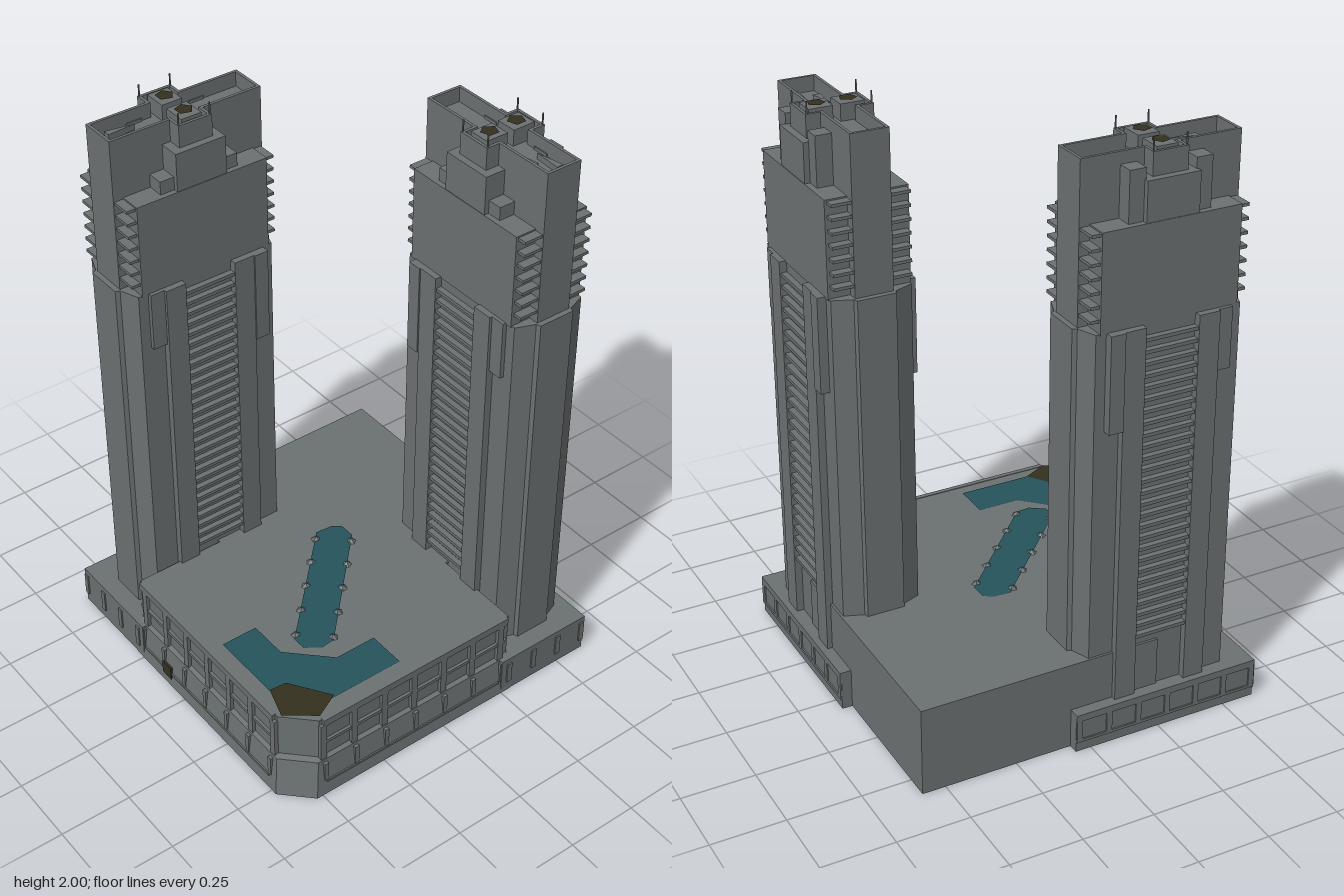
import * as THREE from 'three';
import { mergeGeometries } from 'three/addons/utils/BufferGeometryUtils.js';

export function createModel() {
  const model = new THREE.Group();
  const paint = (name, color) => {
    const m = new THREE.MeshStandardMaterial({ color, side: THREE.DoubleSide, flatShading: true });
    m.name = name;
    return m;
  };
  const concrete = paint('concrete grey', 0x6b7070);
  const water = paint('pool teal', 0x25535b);
  const dark = paint('dark olive', 0x33301f);

  const add = (parent, name, geos, mat = concrete) => {
    const list = [geos].flat().map(g => (g.index ? g.toNonIndexed() : g));
    const mesh = new THREE.Mesh(list.length > 1 ? mergeGeometries(list) : list[0], mat);
    mesh.name = name;
    parent.add(mesh);
  };

  // The complex mirrors across the plan diagonal: (x, z) -> (-z, -x)
  const flip = (p, m) => (m ? [-p[1], -p[0]] : p);
  const box = (m, x0, x1, y0, y1, z0, z1) => {
    const [cx, cz] = flip([(x0 + x1) / 2, (z0 + z1) / 2], m);
    const w = x1 - x0, d = z1 - z0;
    return new THREE.BoxGeometry(m ? d : w, y1 - y0, m ? w : d).translate(cx, (y0 + y1) / 2, cz);
  };
  const outline = (pts, m) => new THREE.Shape(pts.map(p => {
    const [x, z] = flip(p, m);
    return new THREE.Vector2(x, -z);
  }));
  const plate = (pts, y, m = false) =>
    new THREE.ShapeGeometry(outline(pts, m)).rotateX(-Math.PI / 2).translate(0, y, 0);
  const prism = (pts, y0, y1, m, hole) => {
    const s = outline(pts, m);
    if (hole) s.holes.push(outline(hole, m));
    return new THREE.ExtrudeGeometry(s, { depth: y1 - y0, bevelEnabled: false })
      .rotateX(-Math.PI / 2).translate(0, y0, 0);
  };
  // Open wall lofted through rings of plan points, each ring at its own height
  const walls = (rings) => {
    const pos = [];
    for (let r = 0; r + 1 < rings.length; r++) {
      const [a, b] = [rings[r], rings[r + 1]];
      const n = a.pts.length;
      for (let i = 0; i < n; i++) {
        const j = (i + 1) % n;
        const v = (q, k) => [q.pts[k][0], q.y, q.pts[k][1]];
        pos.push(...v(a, i), ...v(a, j), ...v(b, j), ...v(a, i), ...v(b, j), ...v(b, i));
      }
    }
    const g = new THREE.BufferGeometry();
    g.setAttribute('position', new THREE.Float32BufferAttribute(pos, 3));
    g.setAttribute('uv', new THREE.Float32BufferAttribute(new Array(pos.length / 3 * 2).fill(0), 2));
    g.computeVertexNormals();
    return g;
  };

  // Podium: hollow shell, open below, flared foot on the two street sides
  const podium = new THREE.Group();
  podium.name = 'podium';
  model.add(podium);
  const plan = [[-0.585, -0.29], [-0.585, 0.49], [-0.49, 0.585], [0.29, 0.585], [0.29, 0.26],
    [0.58, 0.26], [0.58, -0.58], [-0.26, -0.58], [-0.26, -0.29]];
  const flare = d => plan.map(([x, z]) => [x < -0.4 ? x - d : x, z > 0.4 ? z + d : z]);
  add(podium, 'podiumWalls', walls([
    { pts: flare(0.032), y: 0 }, { pts: flare(0.015), y: 0.14 },
    { pts: plan, y: 0.145 }, { pts: plan, y: 0.31 },
  ]));
  add(podium, 'podiumRoof', plate(plan, 0.31));

  for (const m of [false, true]) {
    // Window bays on each street side
    const frames = [box(m, -0.48, 0.28, 0.285, 0.312, 0.58, 0.597), box(m, -0.48, 0.28, 0.205, 0.217, 0.58, 0.595)];
    for (let i = 0; i < 7; i++) {
      const x = -0.48 + i * 0.122;
      frames.push(box(m, x - 0.012, x + 0.012, 0.14, 0.29, 0.58, 0.597));
      frames.push(box(m, x - 0.008, x + 0.008, 0.05, 0.13, 0.59, 0.612));
    }
    frames.push(box(m, -0.48, 0.24, 0.048, 0.056, 0.595, 0.615));
    add(podium, 'windowFrames', frames);
  }
  add(podium, 'cornerCanopy', plate([[-0.54, 0.39], [-0.48, 0.395], [-0.39, 0.53], [-0.48, 0.575], [-0.575, 0.5]], 0.318), dark);
  add(podium, 'sideEntrance', box(false, -0.617, -0.609, 0.03, 0.08, -0.13, -0.08), dark);

  // Pools and the stones around the long one
  add(podium, 'cornerPool', plate([[-0.54, 0.13], [-0.41, 0.13], [-0.41, 0.27], [-0.28, 0.4], [-0.13, 0.4],
    [-0.13, 0.535], [-0.4, 0.535], [-0.54, 0.4]], 0.314), water);
  add(podium, 'longPool', plate([[0.03, -0.125], [0.09, -0.12], [0.12, -0.1], [0.12, -0.04], [-0.24, 0.33],
    [-0.29, 0.335], [-0.34, 0.3], [-0.34, 0.25]], 0.314), water);
  const stones = [];
  for (let i = 0; i < 5; i++) {
    for (const [x, z] of [[0.01, -0.1], [0.1, -0.02]]) {
      stones.push(new THREE.ConeGeometry(0.018, 0.014, 5).rotateY(i).translate(x - i * 0.083, 0.318, z + i * 0.084));
    }
  }
  add(podium, 'poolStones', stones);

  // Two matching towers
  for (const m of [false, true]) {
    const tower = new THREE.Group();
    tower.name = m ? 'leftTower' : 'rearTower';
    model.add(tower);
    const U = -0.26, V = -0.437;
    // Box in tower coordinates: u along the long side, v across
    const tb = (u0, u1, y0, y1, v0, v1) => box(m, U + u0, U + u1, y0, y1, V + v0, V + v1);
    const tp = pts => pts.map(([u, v]) => [U + u, V + v]);
    const both = f => [-1, 1].flatMap(f);
    const span = (s, a, b) => (s > 0 ? [a, b] : [-b, -a]);
    const corners = f => both(s => both(t => f(s, t)));

    // Low base around the tower foot
    const base = [[-0.615, -0.615], [0.055, -0.615], [0.055, -0.25], [-0.615, -0.25]];
    const ring = base.map(p => flip(p, m));
    add(tower, 'baseWalls', walls([{ pts: ring, y: 0 }, { pts: ring, y: 0.14 }]));
    add(tower, 'baseRoof', plate(base, 0.14, m));
    const baseFrames = [box(m, -0.615, 0.055, 0.115, 0.14, -0.62, -0.61), box(m, -0.615, 0.055, 0.035, 0.045, -0.62, -0.61)];
    for (let i = 0; i < 7; i++) {
      const x = -0.605 + i * 0.108;
      baseFrames.push(box(m, x - 0.01, x + 0.01, 0.04, 0.12, -0.62, -0.61));
      if (i < 4) baseFrames.push(box(m, -0.62, -0.61, 0.04, 0.12, x - 0.01, x + 0.01));
    }
    add(tower, 'baseFrames', baseFrames);

    // Shaft with chamfered ends, and the piers beside the balconies
    add(tower, 'shaft', prism(tp([[-0.29, -0.065], [-0.275, -0.07], [-0.25, -0.135], [0.25, -0.135], [0.275, -0.07],
      [0.29, -0.065], [0.29, 0.065], [0.275, 0.07], [0.25, 0.135], [-0.25, 0.135], [-0.275, 0.07], [-0.29, 0.065]]),
    0.13, 1.435, m));
    add(tower, 'piers', corners((s, t) => tb(...span(s, 0.092, 0.165), 0.13, 1.435, ...span(t, 0.1, 0.16))));
    add(tower, 'sidePanels', both(t => [
      tb(0.165, 0.215, 1.11, 1.435, ...span(t, 0.1, 0.165)),
      tb(-0.215, -0.165, 1.23, 1.435, ...span(t, 0.1, 0.15)),
    ]));

    // Balcony slabs in the long faces
    const balconies = [];
    for (let i = 0; i < 27; i++) {
      const y = 0.345 + i * 0.04;
      balconies.push(...both(t => tb(-0.092, 0.092, y, y + 0.012, ...span(t, 0.12, 0.155))));
    }
    add(tower, 'balconies', balconies);

    // Stepped upper storeys
    add(tower, 'upperStorey', tb(-0.237, 0.237, 1.43, 1.755, -0.138, 0.138));
    add(tower, 'upperStep', tb(-0.09, 0.09, 1.75, 1.885, -0.136, 0.136));
    add(tower, 'outerRibs', both(s => tb(...span(s, 0.085, 0.14), 1.75, 1.92, -0.118, -0.05)));
    add(tower, 'shoulders', both(s => tb(...span(s, 0.08, 0.14), 1.75, 1.8, 0, 0.12)));
    const ledges = [];
    for (let i = 0; i < 7; i++) {
      const y = 1.47 + i * 0.045;
      ledges.push(...corners((s, t) => tb(...span(s, 0.22, 0.268), y, y + 0.01, ...span(t, 0.05, 0.13))));
    }
    add(tower, 'cornerLedges', ledges);

    // Cross-shaped crown with a parapet
    const cross = d => tp([[1, 1], [1, -1], [-1, -1], [-1, 1]].flatMap(([a, b]) => {
      const arm = [a * (0.272 - d), b * (0.064 - d)];
      const inner = [a * (0.06 - d), b * (0.064 - d)];
      const bar = [a * (0.06 - d), b * (0.112 - d)];
      return a * b > 0 ? [bar, inner, arm] : [arm, inner, bar];
    }));
    add(tower, 'crown', prism(cross(0), 1.43, 1.91, m));
    add(tower, 'parapet', prism(cross(0), 1.91, 1.96, m, cross(0.01)));

    // Rooftop plant, fans, vents and masts
    add(tower, 'roofPlant', both(t => tb(-0.036, 0.036, 1.9, 1.965, ...span(t, 0.012, 0.092))));
    add(tower, 'roofFans', both(t => plate(tp([0, 1, 2, 3, 4].map(i =>
      [0.03 * Math.cos(i * 1.257), t * 0.052 + 0.03 * Math.sin(i * 1.257)])), 1.97, m)), dark);
    add(tower, 'roofVents', [
      prism(tp([[-0.225, -0.04], [-0.225, -0.015], [-0.13, -0.022]]), 1.9, 1.93, m),
      prism(tp([[-0.175, 0.012], [-0.175, 0.037], [-0.085, 0.03]]), 1.9, 1.93, m),
    ]);
    add(tower, 'masts', corners((s, t) => tb(...span(s, 0.054, 0.058), 1.9, 2, ...span(t, 0.104, 0.108))));
  }
  return model;
}
